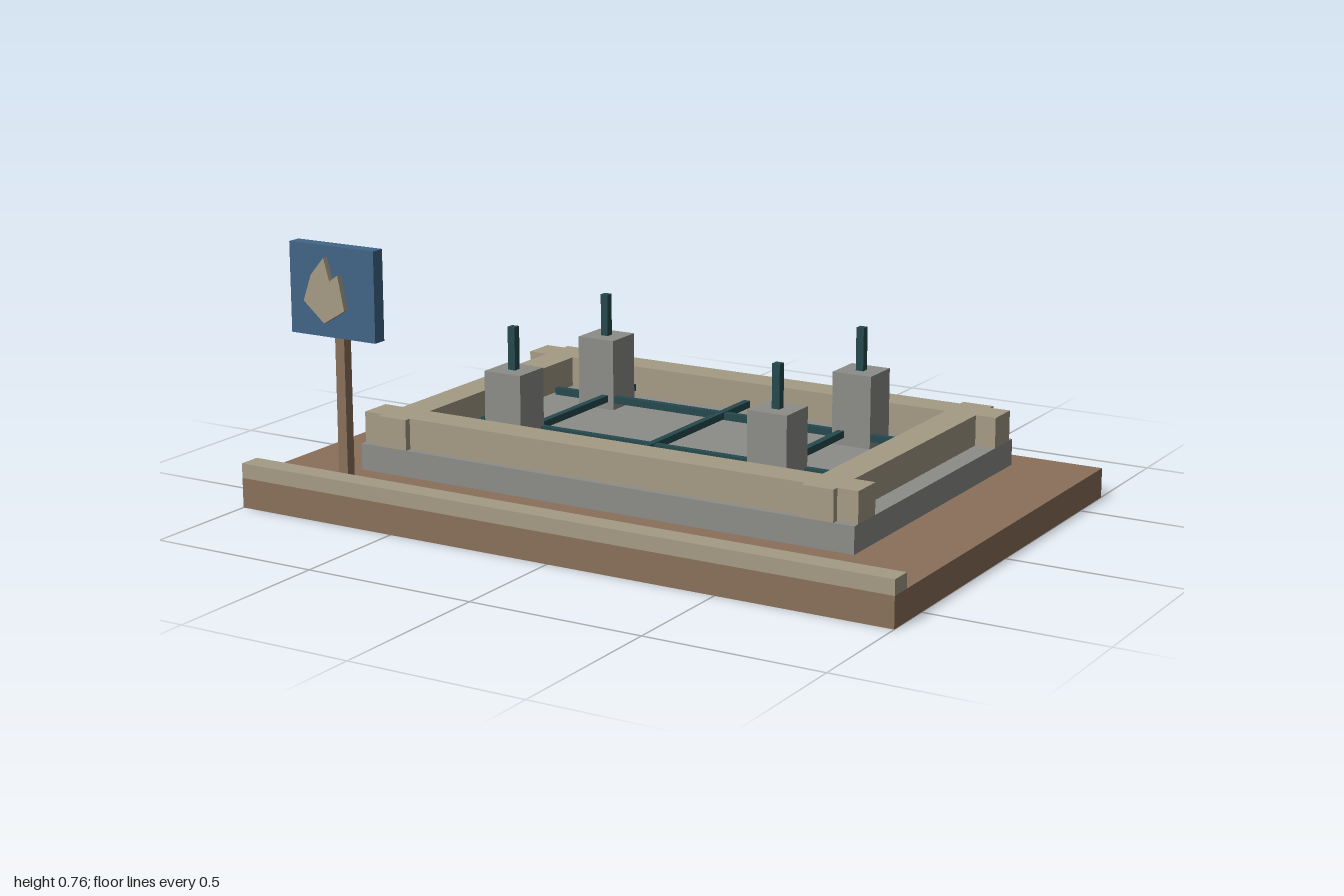
import * as THREE from 'three';

const mat = (name, color) => {
  const m = new THREE.MeshStandardMaterial({ color });
  m.name = name;
  return m;
};

export function createModel() {
  const model = new THREE.Group();
  model.name = 'foundationSite';

  const earth = mat('earth brown', 0x8a705a);
  const timber = mat('pale timber', 0xa59b85);
  const concrete = mat('concrete grey', 0x8c8d88);
  const steel = mat('dark steel', 0x25494d);
  const blue = mat('sign blue', 0x416587);

  // Box given by its extents on each axis
  const box = (name, material, [x0, x1], [y0, y1], [z0, z1], parent = model) => {
    const mesh = new THREE.Mesh(new THREE.BoxGeometry(x1 - x0, y1 - y0, z1 - z0), material);
    mesh.position.set((x0 + x1) / 2, (y0 + y1) / 2, (z0 + z1) / 2);
    mesh.name = name;
    parent.add(mesh);
    return mesh;
  };
  const around = (c, w) => [c - w / 2, c + w / 2];

  // Ground, kerb and slab
  box('ground', earth, [-1, 1], [0, 0.085], [-0.65, 0.65]);
  box('kerb', timber, [-1, 1], [0.085, 0.127], [0.585, 0.65]);
  box('slab', concrete, [-0.768, 0.768], [0.085, 0.16], [-0.553, 0.412]);

  // Formwork: long and short beams crossing at the corners
  const formwork = new THREE.Group();
  formwork.name = 'formwork';
  model.add(formwork);
  const beamY = [0.16, 0.247];
  box('backBeam', timber, [-0.768, 0.768], beamY, [-0.532, -0.437], formwork);
  box('frontBeam', timber, [-0.768, 0.768], beamY, [0.297, 0.392], formwork);
  for (const s of [-1, 1]) {
    const x = around(s * 0.662, 0.092);
    // Middle length and the two ends that project past the long beams
    box('sideBeam', timber, x, beamY, [-0.437, 0.297], formwork);
    box('sideBeamBackEnd', timber, x, beamY, [-0.553, -0.532], formwork);
    box('sideBeamFrontEnd', timber, x, beamY, [0.392, 0.412], formwork);
  }

  // Reinforcement grid
  const grid = new THREE.Group();
  grid.name = 'reinforcementGrid';
  model.add(grid);
  for (const z of [-0.265, 0.12])
    box('longBar', steel, [-0.56, 0.56], around(0.19, 0.02), around(z, 0.02), grid);
  for (const x of [-0.385, 0, 0.385])
    box('crossBar', steel, around(x, 0.02), around(0.192, 0.02), [-0.408, 0.268], grid);

  // Column stubs with starter bars
  for (const x of [-0.416, 0.416])
    for (const z of [-0.31, 0.173]) {
      box('column', concrete, around(x, 0.118), [0.16, 0.366], around(z, 0.116));
      box('starterBar', steel, around(x, 0.023), [0.366, 0.488], around(z, 0.023));
    }

  // Sign
  const sign = new THREE.Group();
  sign.name = 'sign';
  model.add(sign);
  box('signPost', earth, around(-0.702, 0.03), [0.085, 0.633], [0.553, 0.583], sign);
  box('signBoard', blue, [-0.84, -0.562], [0.51, 0.76], [0.571, 0.611], sign);

  // Jagged emblem standing off the board
  const outline = [
    [-0.768, 0.612], [-0.742, 0.685], [-0.699, 0.735], [-0.681, 0.673],
    [-0.654, 0.692], [-0.634, 0.597], [-0.702, 0.556],
  ].map(([x, y]) => new THREE.Vector2(x, y));
  const emblem = new THREE.Mesh(
    new THREE.ExtrudeGeometry(new THREE.Shape(outline), { depth: 0.016, bevelEnabled: false }),
    timber
  );
  emblem.name = 'signEmblem';
  emblem.position.z = 0.632;
  sign.add(emblem);

  return model;
}
